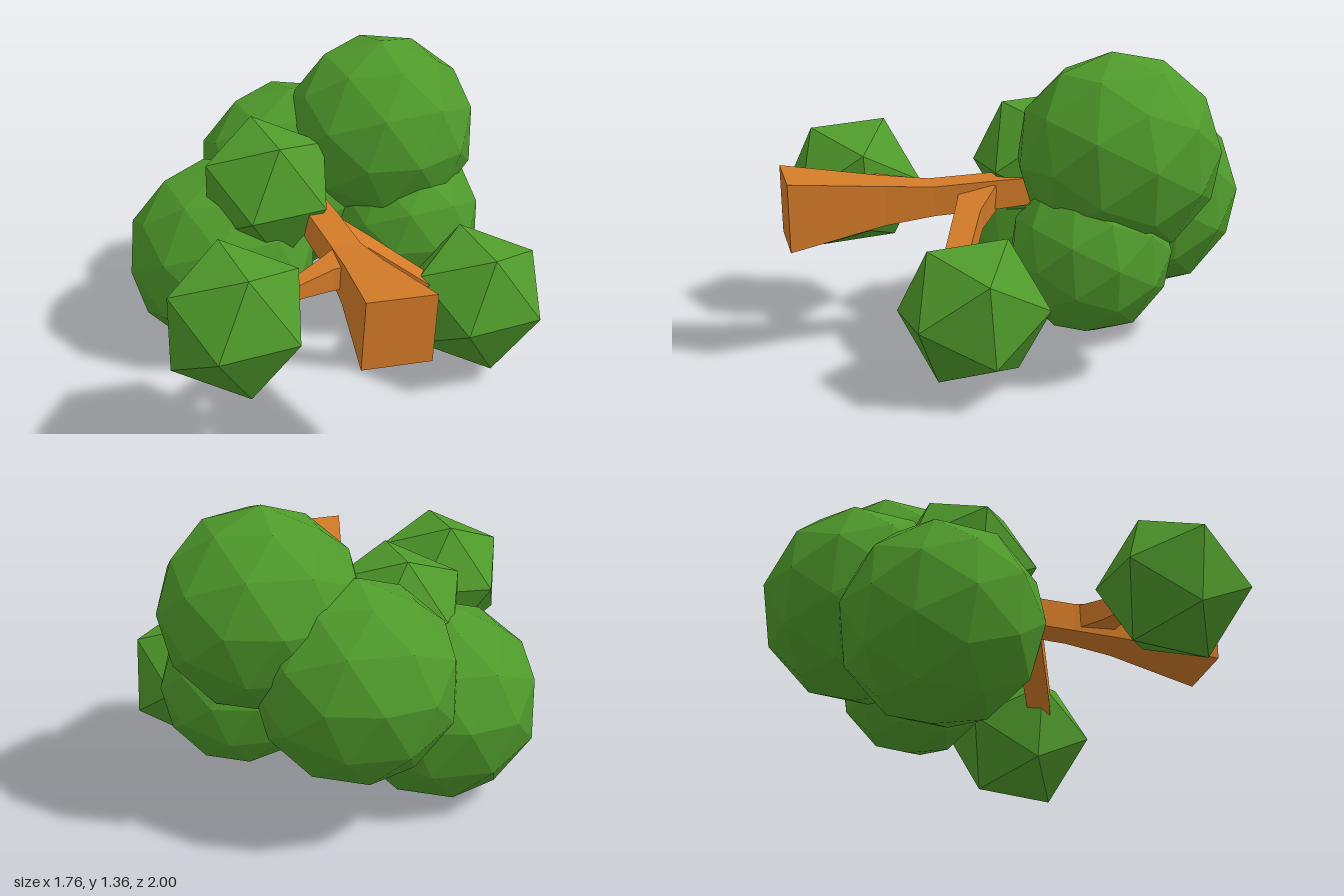
import * as THREE from 'three';

const leafMat = new THREE.MeshStandardMaterial({ color: 0x4f9a2b, flatShading: true });
const woodMat = new THREE.MeshStandardMaterial({ color: 0xd27a28, flatShading: true });

// Shared slight tilt of every leaf ball
const axisX = new THREE.Vector3(1, 0.03, -0.073).normalize();
const axisZ = axisX.clone().cross(new THREE.Vector3(0.073, -0.07, 1)).normalize();
const axisY = axisZ.clone().cross(axisX);
const leafTilt = new THREE.Matrix4().makeBasis(axisX, axisY, axisZ);

function leafBall(name, radius, detail, position) {
  const geometry = new THREE.IcosahedronGeometry(radius, detail).applyMatrix4(leafTilt);
  const mesh = new THREE.Mesh(geometry, leafMat);
  mesh.name = name;
  mesh.position.set(...position);
  return mesh;
}

// Square-section limb through stations [x, y, z, halfWidth, halfHeight]
function limb(name, stations) {
  const points = stations.map(([x, y, z]) => new THREE.Vector3(x, y, z));
  const up = new THREE.Vector3(0.05, 1, 0);
  const rings = stations.map(([, , , w, h], i) => {
    const t = points[Math.min(i + 1, points.length - 1)].clone()
      .sub(points[Math.max(i - 1, 0)]).normalize();
    const side = t.clone().cross(up).normalize();
    const top = side.clone().cross(t);
    return [[1, 1], [-1, 1], [-1, -1], [1, -1]].map(([a, b]) =>
      points[i].clone().addScaledVector(side, a * w).addScaledVector(top, b * h));
  });
  const corners = [];
  const quad = (a, b, c, d) => corners.push(a, b, c, a, c, d);
  for (let i = 0; i < rings.length - 1; i++) {
    for (let k = 0; k < 4; k++) {
      const n = (k + 1) % 4;
      quad(rings[i][k], rings[i + 1][k], rings[i + 1][n], rings[i][n]);
    }
  }
  quad(...rings[0]);
  quad(...[...rings[rings.length - 1]].reverse());
  const geometry = new THREE.BufferGeometry().setFromPoints(corners);
  geometry.computeVertexNormals();
  const mesh = new THREE.Mesh(geometry, woodMat);
  mesh.name = name;
  return mesh;
}

export function createModel() {
  const tree = new THREE.Group();
  tree.name = 'tree';

  // Trunk lying along z, thick end to the front
  tree.add(
    limb('trunk', [
      [-0.036, 0.668, 1, 0.151, 0.151],
      [-0.035, 0.68, 0.58, 0.088, 0.088],
      [-0.035, 0.68, 0.36, 0.066, 0.066],
      [-0.035, 0.692, 0.08, 0.065, 0.065],
      [-0.035, 0.70, -0.1, 0.06, 0.06],
    ]),
    limb('rightBranch', [
      [-0.05, 0.69, 0.45, 0.085, 0.055],
      [-0.17, 0.69, 0.5, 0.05, 0.05],
      [-0.33, 0.69, 0.575, 0.03, 0.032],
      [-0.5, 0.68, 0.62, 0.025, 0.025],
    ]),
    limb('leftBranch', [
      [-0.02, 0.68, 0.15, 0.08, 0.06],
      [0.11, 0.615, 0.225, 0.056, 0.054],
      [0.33, 0.465, 0.33, 0.052, 0.05],
      [0.45, 0.385, 0.38, 0.045, 0.045],
    ]),
  );

  // Large rounded crown
  tree.add(
    leafBall('upperLeaves', 0.435, 1, [0.39, 0.93, -0.355]),
    leafBall('lowerLeaves', 0.435, 1, [-0.38, 0.437, -0.315]),
    leafBall('backLeaves', 0.435, 1, [0.03, 0.67, -0.567]),
    leafBall('sideLeaves', 0.345, 1, [0.465, 0.535, -0.215]),
  );

  // Small faceted clumps
  tree.add(
    leafBall('rightBranchLeaves', 0.327, 0, [-0.595, 0.63, 0.624]),
    leafBall('leftBranchLeaves', 0.327, 0, [0.597, 0.36, 0.315]),
    leafBall('middleLeaves', 0.327, 0, [-0.21, 0.79, -0.185]),
  );
  return tree;
}
